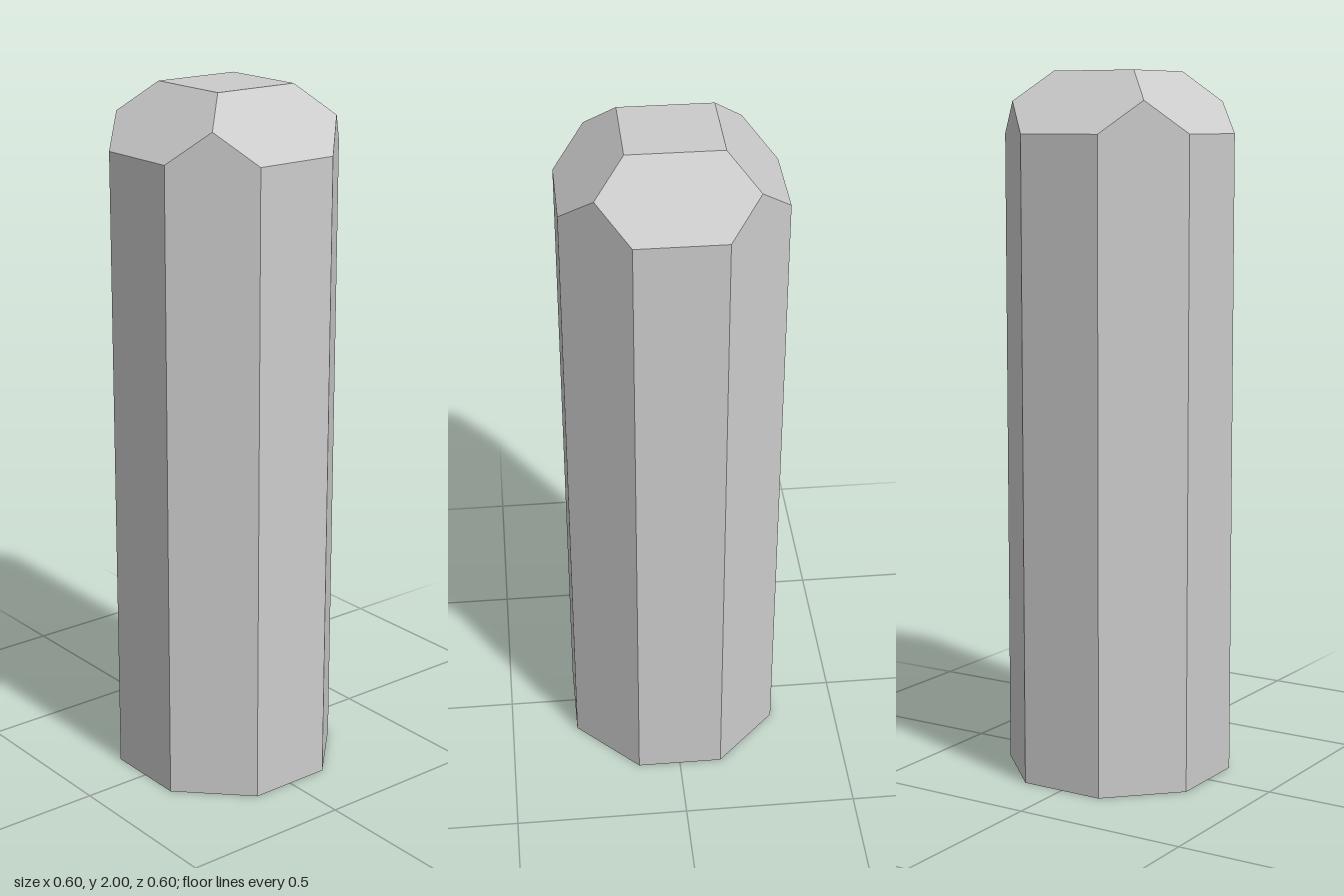
import * as THREE from 'three';

const H = 2;        // height
const R = 0.302;    // distance from the axis to the straight sides
const C = 0.124;    // half width of a straight side
const T = 0.13;     // half width of the flat top
const M = (R + C) / 2; // middle of a diagonal side

// Height of the 45 degree bevel at a given distance from the axis
const bevelY = (d) => H - (d - T);

// Flat-shaded mesh from convex polygons, each split into a fan of triangles
function polygonMesh(name, polygons, material) {
  const points = [];
  for (const p of polygons) {
    for (let i = 1; i < p.length - 1; i++) points.push(p[0], p[i], p[i + 1]);
  }
  const geometry = new THREE.BufferGeometry().setFromPoints(points);
  geometry.computeVertexNormals();
  const mesh = new THREE.Mesh(geometry, material);
  mesh.name = name;
  return mesh;
}

export function createModel() {
  const group = new THREE.Group();
  group.name = 'crystalColumn';
  const material = new THREE.MeshStandardMaterial({ color: 0xcccccc, flatShading: true });
  const up = new THREE.Vector3(0, 1, 0);
  const shaft = [], tip = [], base = [], top = [];
  const yc = bevelY(R), ym = bevelY(M);

  // One quarter of the column, turned four times
  for (let q = 0; q < 4; q++) {
    const v = (x, y, z) => new THREE.Vector3(x, y, z).applyAxisAngle(up, q * Math.PI / 2);
    // straight side
    shaft.push([v(-C, 0, R), v(C, 0, R), v(C, yc, R), v(-C, yc, R)]);
    // diagonal side, rising to a point between two bevels
    shaft.push([v(C, 0, R), v(R, 0, C), v(R, yc, C), v(M, ym, M), v(C, yc, R)]);
    // hexagonal bevel
    tip.push([v(-C, yc, R), v(C, yc, R), v(M, ym, M), v(T, H, T), v(-T, H, T), v(-M, ym, M)]);
    // corners of the flat top and of the base
    top.push(v(T, H, T));
    base.push(v(-C, 0, R), v(C, 0, R));
  }
  tip.push(top);

  group.add(
    polygonMesh('shaft', shaft, material),
    polygonMesh('bevelledTip', tip, material),
    polygonMesh('base', [base.reverse()], material),
  );
  return group;
}
